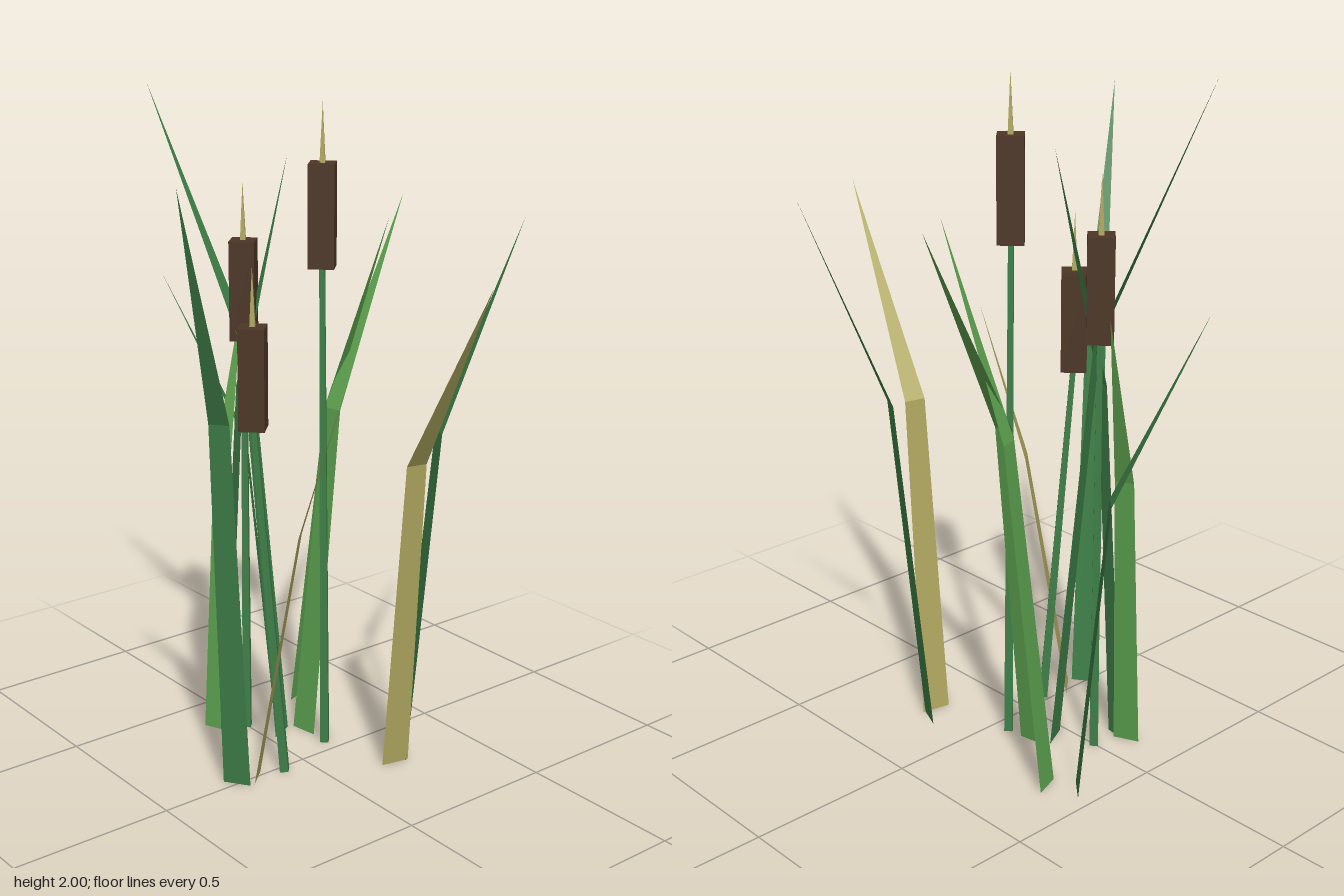
import * as THREE from 'three';

const mat = (name, color, extra = {}) => {
  const m = new THREE.MeshStandardMaterial({ color, flatShading: true, ...extra });
  m.name = name;
  return m;
};

// Flat leaf: base edge, narrower bend edge and a pointed tip, broad side facing the lean
function leaf(base, bend, tip, width, material) {
  const lean = new THREE.Vector2(tip[0] - base[0], tip[2] - base[2]).normalize();
  const edge = ([x, y, z], w) => [-1, 1].map((s) => [x - s * lean.y * w / 2, y, z + s * lean.x * w / 2]);
  const points = [...edge(base, width), ...edge(bend, width * 0.73), tip];
  const geo = new THREE.BufferGeometry();
  geo.setAttribute('position', new THREE.Float32BufferAttribute(points.flat(), 3));
  geo.setIndex([0, 1, 3, 0, 3, 2, 2, 3, 4]);
  const flat = geo.toNonIndexed();
  flat.computeVertexNormals();
  const mesh = new THREE.Mesh(flat, material);
  mesh.name = 'leaf';
  return mesh;
}

// Reed: slightly leaning stem, square seed head and thin spike
function reed(foot, [x, y, z], mats) {
  const g = new THREE.Group();
  g.name = 'reed';
  const add = (name, geo, material, height) => {
    const m = new THREE.Mesh(geo, material);
    m.name = name;
    m.position.set(x, height, z);
    g.add(m);
    return m;
  };
  const a = new THREE.Vector3(foot[0], 0, foot[1]);
  const b = new THREE.Vector3(x, y + 0.02, z);
  const dir = b.clone().sub(a);
  const stem = add('stem', new THREE.CylinderGeometry(0.011, 0.018, dir.length(), 4), mats.stem, 0);
  stem.position.copy(a).add(b).multiplyScalar(0.5);
  stem.quaternion.setFromUnitVectors(new THREE.Vector3(0, 1, 0), dir.normalize());
  add('seedHead', new THREE.CylinderGeometry(0.053, 0.053, 0.297, 4), mats.head, y + 0.1485);
  add('spike', new THREE.ConeGeometry(0.011, 0.17, 4), mats.spike, y + 0.297 + 0.085);
  return g;
}

export function createModel() {
  const group = new THREE.Group();
  group.name = 'reedClump';
  const two = { side: THREE.DoubleSide };
  const green = mat('leafGreen', 0x3f8048, two);
  const light = mat('lightGreen', 0x5ca04e, two);
  const straw = mat('straw', 0xb0a860, two);
  const brown = mat('seedBrown', 0x4d3626);

  // Leaves: base, bend, tip, width, colour
  const leaves = [
    [[-0.428, 0, -0.212], [-0.48, 0.88, -0.15], [-0.645, 1.405, 0.04], 0.086, green],
    [[0.163, 0, -0.258], [0.2, 1.03, -0.345], [0.293, 1.645, -0.572], 0.08, green],
    [[-0.148, 0, -0.12], [-0.17, 1.03, -0.248], [-0.224, 1.645, -0.567], 0.086, light],
    [[0.19, 0, -0.208], [0.282, 0.98, -0.188], [0.645, 1.565, -0.11], 0.088, straw],
    [[0.01, 0, 0.18], [0.105, 0.78, 0.092], [0.21, 1.25, 0.005], 0.08, straw],
    [[0, 0, 0.248], [0.058, 1.145, 0.335], [0.22, 1.835, 0.567], 0.084, green],
    [[-0.355, 0, -0.258], [-0.237, 1.02, -0.292], [-0.055, 1.62, -0.365], 0.082, light],
    [[-0.18, 0, -0.058], [-0.283, 1.25, -0.008], [-0.567, 1.995, 0.13], 0.085, green],
    [[-0.333, 0, 0.088], [-0.357, 0.85, 0.033], [-0.415, 1.365, -0.095], 0.078, light],
    [[-0.288, 0, 0.085], [-0.278, 1.125, 0.02], [-0.25, 1.8, -0.14], 0.058, green],
  ];
  leaves.forEach((l) => group.add(leaf(...l)));

  // Reeds: foot x/z, then underside of the seed head
  const mats = { stem: green, head: brown, spike: straw };
  [
    [[-0.285, 0], [-0.3, 1.26, -0.015]],
    [[-0.052, -0.128], [-0.05, 1.505, -0.11]],
    [[0.022, 0.087], [-0.035, 1.077, 0.15]],
  ].forEach(([foot, head]) => group.add(reed(foot, head, mats)));

  return group;
}
